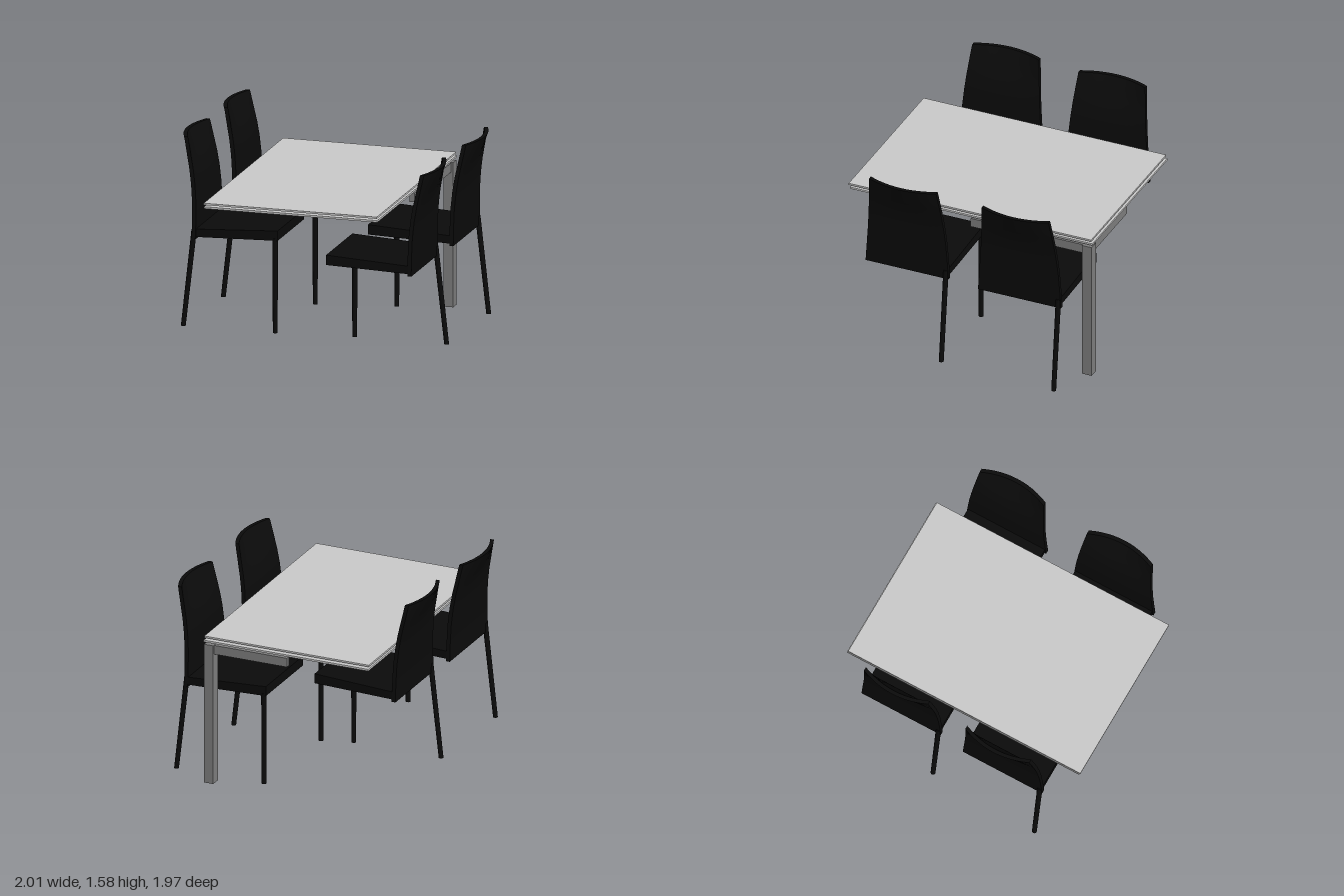
import * as THREE from 'three';

const grey = new THREE.MeshStandardMaterial({ color: 0xcccccc });
const darkGrey = new THREE.MeshStandardMaterial({ color: 0x808080 });
const black = new THREE.MeshStandardMaterial({ color: 0x0b0b0b });

function add(group, name, geometry, material) {
  const mesh = new THREE.Mesh(geometry, material);
  mesh.name = name;
  group.add(mesh);
  return mesh;
}

// box given by its limits on each axis
function box(group, name, [x0, x1], [y0, y1], [z0, z1], material) {
  const mesh = add(group, name, new THREE.BoxGeometry(x1 - x0, y1 - y0, z1 - z0), material);
  mesh.position.set((x0 + x1) / 2, (y0 + y1) / 2, (z0 + z1) / 2);
}

// move every vertex of a geometry by a rule
function reshape(geometry, rule) {
  const p = geometry.attributes.position;
  const v = new THREE.Vector3();
  for (let i = 0; i < p.count; i++) {
    v.fromBufferAttribute(p, i);
    rule(v);
    p.setXYZ(i, v.x, v.y, v.z);
  }
  geometry.computeVertexNormals();
  return geometry;
}

// round leg sheared from its foot to its top, ends kept level
function leg(group, name, footX, topX, topY, z) {
  const g = new THREE.CylinderGeometry(0.02, 0.018, topY, 14);
  reshape(g, v => {
    v.y += topY / 2;
    v.x += THREE.MathUtils.lerp(footX, topX, v.y / topY);
    v.z += z;
  });
  add(group, name, g, black);
}

// backrest rows: height, inner face offset, bulge of the middle
const backRows = [
  [0.67, 0, 0], [0.80, 0, 0], [0.95, 0.003, 0], [1.08, 0.014, 0],
  [1.19, 0.03, 0.002], [1.27, 0.046, 0.022], [1.35, 0.062, 0.041], [1.43, 0.078, 0.06],
];

// chair with its back towards +x; x = 0 is the inner face of the backrest
function createChair() {
  const chair = new THREE.Group();

  const back = new THREE.BoxGeometry(1, 1, 1, 1, backRows.length - 1, 12);
  reshape(back, v => {
    const [y, inner, bulge] = backRows[Math.round((v.y + 0.5) * (backRows.length - 1))];
    const side = v.z * 2;
    const t = (y - 0.67) / 0.76;
    v.x = inner + bulge * (1 - side * side) + (v.x > 0 ? 0.03 : 0);
    v.y = y;
    v.z = side * (0.335 - 0.045 * t - 0.02 * t * t);
  });
  add(chair, 'backrest', back, black);

  // seat rises gently towards its front edge
  const seat = reshape(new THREE.BoxGeometry(0.64, 1, 0.65), v => {
    const front = v.x < 0;
    const top = v.y > 0;
    v.x -= 0.31;
    v.y = top ? (front ? 0.78 : 0.745) : (front ? 0.705 : 0.685);
  });
  add(chair, 'seat', seat, black);

  leg(chair, 'frontLeg', -0.607, -0.607, 0.72, -0.31);
  leg(chair, 'backLeg', 0.102, 0.018, 0.74, -0.31);
  return chair;
}

export function createModel() {
  const model = new THREE.Group();

  // table
  const table = new THREE.Group();
  table.name = 'table';
  box(table, 'upperTop', [-0.70, 0.635], [1.152, 1.166], [-0.975, 0.985], grey);
  box(table, 'lowerTop', [-0.70, 0.635], [1.122, 1.137], [-0.985, 0.975], grey);
  box(table, 'tableLeg', [0.56, 0.635], [0, 1.102], [-0.98, -0.90], darkGrey);
  box(table, 'backApron', [-0.03, 0.56], [1.03, 1.10], [-0.965, -0.925], darkGrey);
  box(table, 'sideApron', [0.58, 0.62], [1.03, 1.10], [-0.90, 0.005], darkGrey);
  model.add(table);

  // chairs: x, lift, z, turn
  const places = [
    ['leftFrontChair', 0.80, 0, 0.425, 0],
    ['leftBackChair', 0.835, 0, -0.50, 0],
    ['rightFrontChair', -0.835, 0.152, 0.42, Math.PI],
    ['rightBackChair', -0.80, 0.152, -0.455, Math.PI],
  ];
  for (const [name, x, y, z, turn] of places) {
    const chair = createChair();
    chair.name = name;
    chair.position.set(x, y, z);
    chair.rotation.y = turn;
    model.add(chair);
  }
  return model;
}
